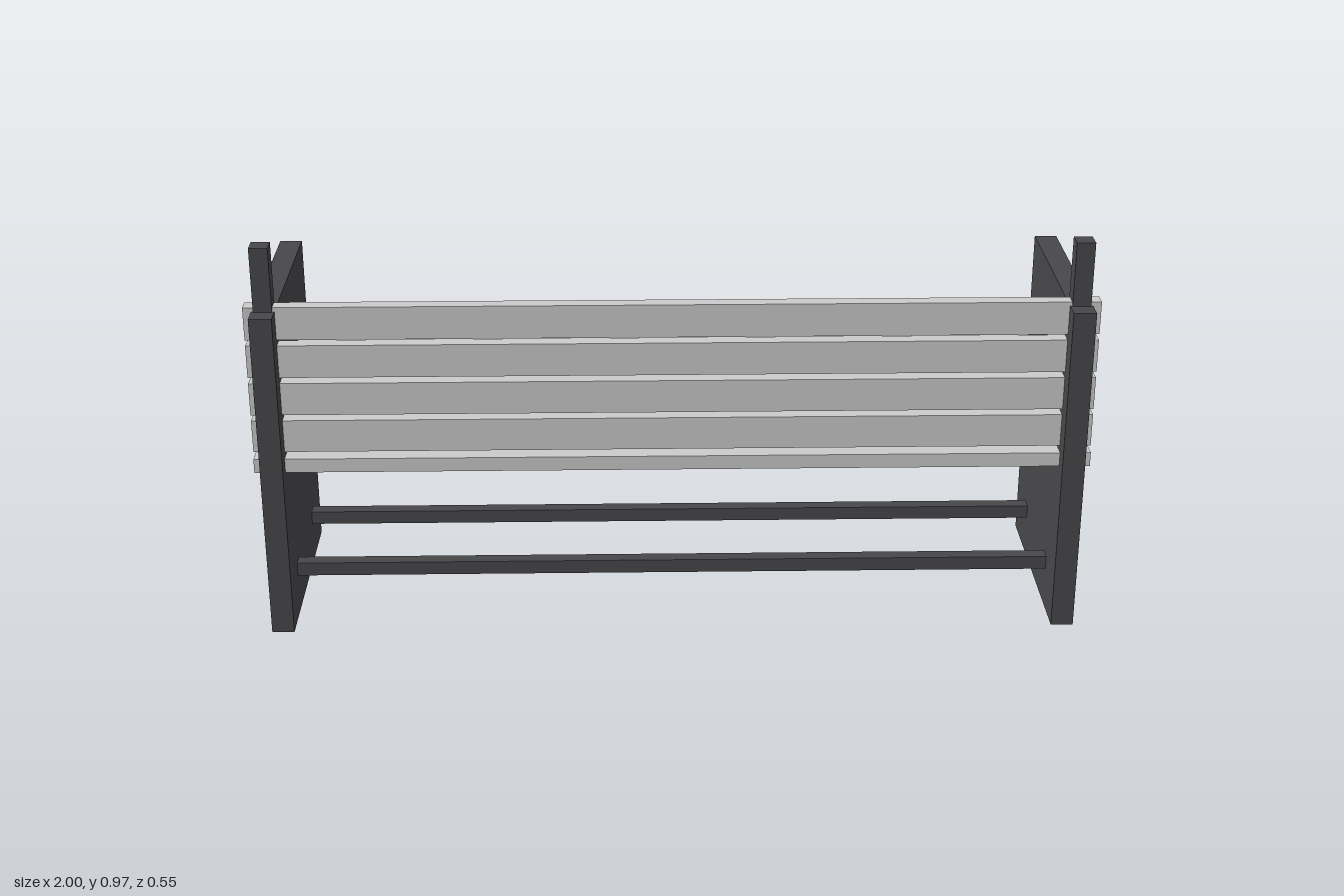
import * as THREE from 'three';

export function createModel() {
  const bench = new THREE.Group();
  bench.name = 'bench';
  const wood = new THREE.MeshStandardMaterial({ color: 0xcccccc });
  const frame = new THREE.MeshStandardMaterial({ color: 0x48474b });

  // Box given by its size and centre
  function addBox(name, material, size, centre) {
    const mesh = new THREE.Mesh(new THREE.BoxGeometry(...size), material);
    mesh.name = name;
    mesh.position.set(...centre);
    bench.add(mesh);
  }

  // End panels, each with a post rising out of its top edge
  for (const [side, s] of [['left', 1], ['right', -1]]) {
    addBox(side + 'EndPanel', frame, [0.054, 0.818, 0.546], [s * 0.953, 0.409, 0]);
    addBox(side + 'Post', frame, [0.044, 0.515, 0.044], [s * 0.953, 0.7175, 0.205]);
  }

  // Seat slats run through the end panels
  for (let i = 0; i < 5; i++) {
    addBox('seatSlat' + (i + 1), wood, [2, 0.035, 0.081], [0, 0.428, 0.192 - i * 0.0955]);
  }

  // Backrest slats
  for (let i = 0; i < 4; i++) {
    addBox('backSlat' + (i + 1), wood, [2, 0.081, 0.035], [0, 0.501 + i * 0.0955, 0.206]);
  }

  // Lower stretcher rails between the panels
  for (const [place, z] of [['front', 0.143], ['rear', -0.143]]) {
    addBox(place + 'Stretcher', frame, [1.87, 0.034, 0.034], [0, 0.113, z]);
  }

  return bench;
}
